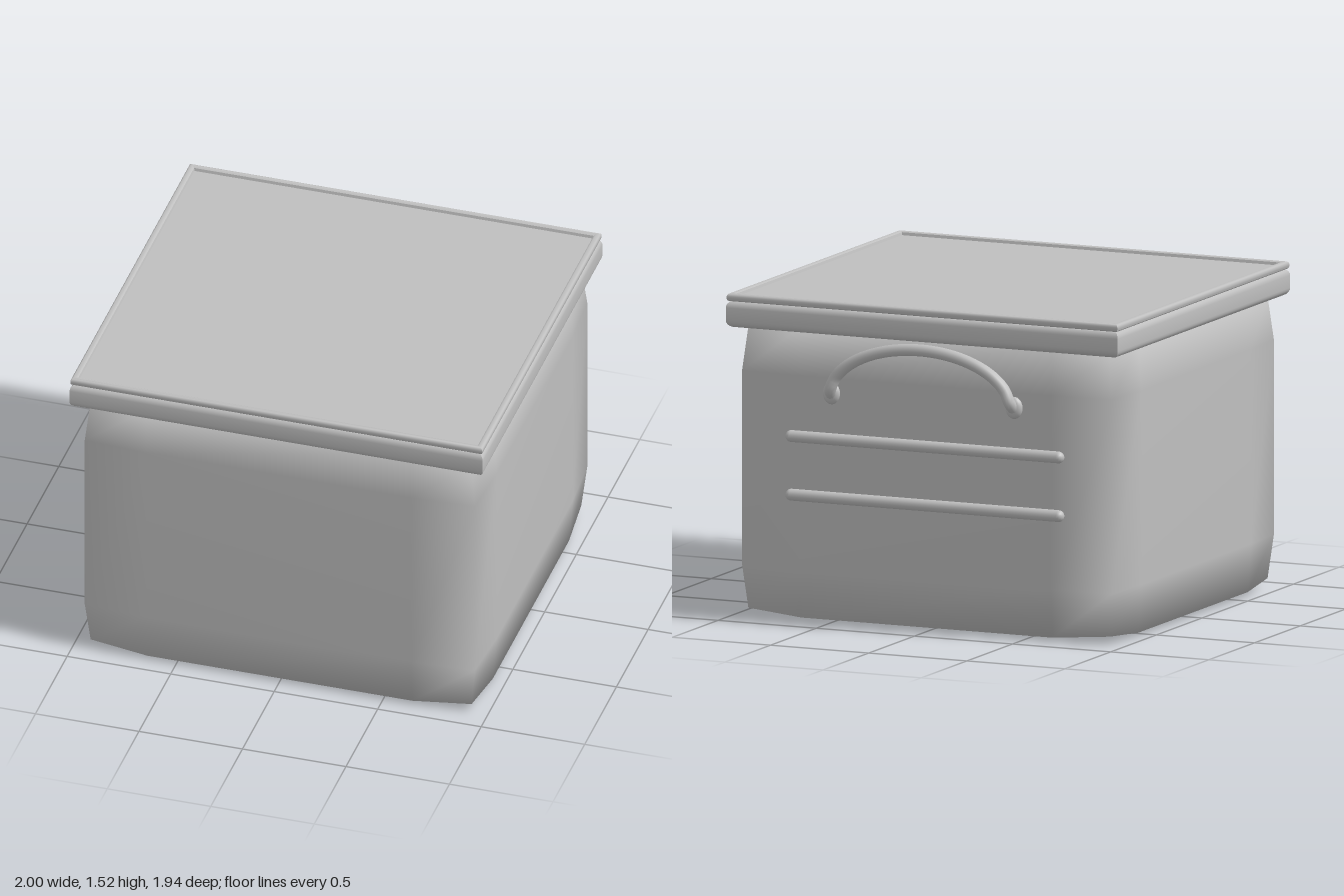
import * as THREE from 'three';
import { mergeVertices, toCreasedNormals } from 'three/addons/utils/BufferGeometryUtils.js';

const Z0 = 0.025; // the bin sits slightly forward; the handle takes up the back

// Soft box: 3x3 patches per side, edges and corners pulled in, one smooth surface
function softBox(half, inner, edgePull, cornerPull) {
  let geo = new THREE.BoxGeometry(2, 2, 2, 3, 3, 3);
  const p = geo.attributes.position;
  for (let i = 0; i < p.count; i++) {
    const v = [p.getX(i), p.getY(i), p.getZ(i)];
    const extremes = v.filter((c) => Math.abs(c) > 0.9).length;
    const pull = [0, 0, edgePull, cornerPull][extremes];
    const q = v.map((c, k) => Math.sign(c) * (Math.abs(c) > 0.9 ? half[k] - pull : inner[k]));
    p.setXYZ(i, ...q);
  }
  geo.deleteAttribute('normal');
  geo.deleteAttribute('uv');
  geo = mergeVertices(geo, 1e-4);
  geo.computeVertexNormals();
  return geo;
}

// Rectangular loft with mitred corners: profile is a list of [inset, y], listed bottom to top
function rectLoft(halfX, halfZ, profile, closeEnds) {
  const pos = [], idx = [];
  for (const [inset, y] of profile) {
    const x = halfX - inset, z = halfZ - inset;
    pos.push(x, y, z, x, y, -z, -x, y, -z, -x, y, z);
  }
  for (let r = 0; r < profile.length - 1; r++) {
    for (let k = 0; k < 4; k++) {
      const a = r * 4 + k, b = r * 4 + (k + 1) % 4;
      idx.push(a, b, b + 4, a, b + 4, a + 4);
    }
  }
  const t = (profile.length - 1) * 4;
  if (closeEnds) idx.push(0, 2, 1, 0, 3, 2);
  idx.push(t, t + 1, t + 2, t, t + 2, t + 3);
  const geo = new THREE.BufferGeometry();
  geo.setAttribute('position', new THREE.Float32BufferAttribute(pos, 3));
  geo.setIndex(idx);
  return toCreasedNormals(geo, 0.7);
}

// Points of a rounded outer edge of height y0..y1
function roundedEdge(y0, y1, r, steps = 5) {
  const pts = [];
  for (let i = 0; i <= steps; i++) {
    const a = (i / steps) * Math.PI / 2;
    pts.push([r - r * Math.sin(a), y0 + r - r * Math.cos(a)]);
  }
  return [...pts, ...pts.slice().reverse().map(([inset, y]) => [inset, y0 + y1 - y])];
}

export function createModel() {
  const group = new THREE.Group();
  const grey = new THREE.MeshStandardMaterial({ color: 0xbfbfbf });
  grey.name = 'plain grey';
  const add = (name, geo, x = 0, y = 0, z = 0) => {
    const mesh = new THREE.Mesh(geo, grey);
    mesh.name = name;
    mesh.position.set(x, y, z);
    group.add(mesh);
    return mesh;
  };

  // Bulging container
  add('body', softBox([0.96, 0.7, 0.905], [0.64, 0.455, 0.6], 0.018, 0.04), 0, 0.7, Z0);

  // Lid: thick rounded band, then a thin rim around a recessed panel
  add('lidBand', rectLoft(0.998, 0.945, roundedEdge(1.36, 1.488, 0.035), true), 0, 0, Z0);
  const rim = [
    ...roundedEdge(1.483, 1.52, 0.014, 4),
    [0.022, 1.52], [0.03, 1.515], [0.034, 1.502],
  ];
  add('lidRimAndPanel', rectLoft(0.995, 0.942, rim, true), 0, 0, Z0);

  // Arched carrying handle on the back
  const path = [new THREE.Vector3(0.465, 1.08, -0.905)];
  for (let i = 0; i <= 12; i++) {
    const a = 0.12 + (i / 12) * (Math.PI - 0.24);
    path.push(new THREE.Vector3(0.46 * Math.cos(a), 1.085 + 0.245 * Math.sin(a), -0.939));
  }
  path.push(new THREE.Vector3(-0.465, 1.08, -0.905));
  add('handle', new THREE.TubeGeometry(new THREE.CatmullRomCurve3(path), 64, 0.028, 12));
  for (const s of [-1, 1]) {
    add(s > 0 ? 'leftHandleMount' : 'rightHandleMount', new THREE.SphereGeometry(1, 20, 14),
      s * 0.465, 1.09, -0.908).scale.set(0.042, 0.052, 0.027);
  }

  // Two horizontal ribs below the handle
  for (const [name, y] of [['upperRib', 0.87], ['lowerRib', 0.595]]) {
    const rib = add(name, new THREE.CapsuleGeometry(0.028, 1.36, 5, 14), 0, y, -0.885);
    rib.rotation.z = Math.PI / 2;
  }
  return group;
}
